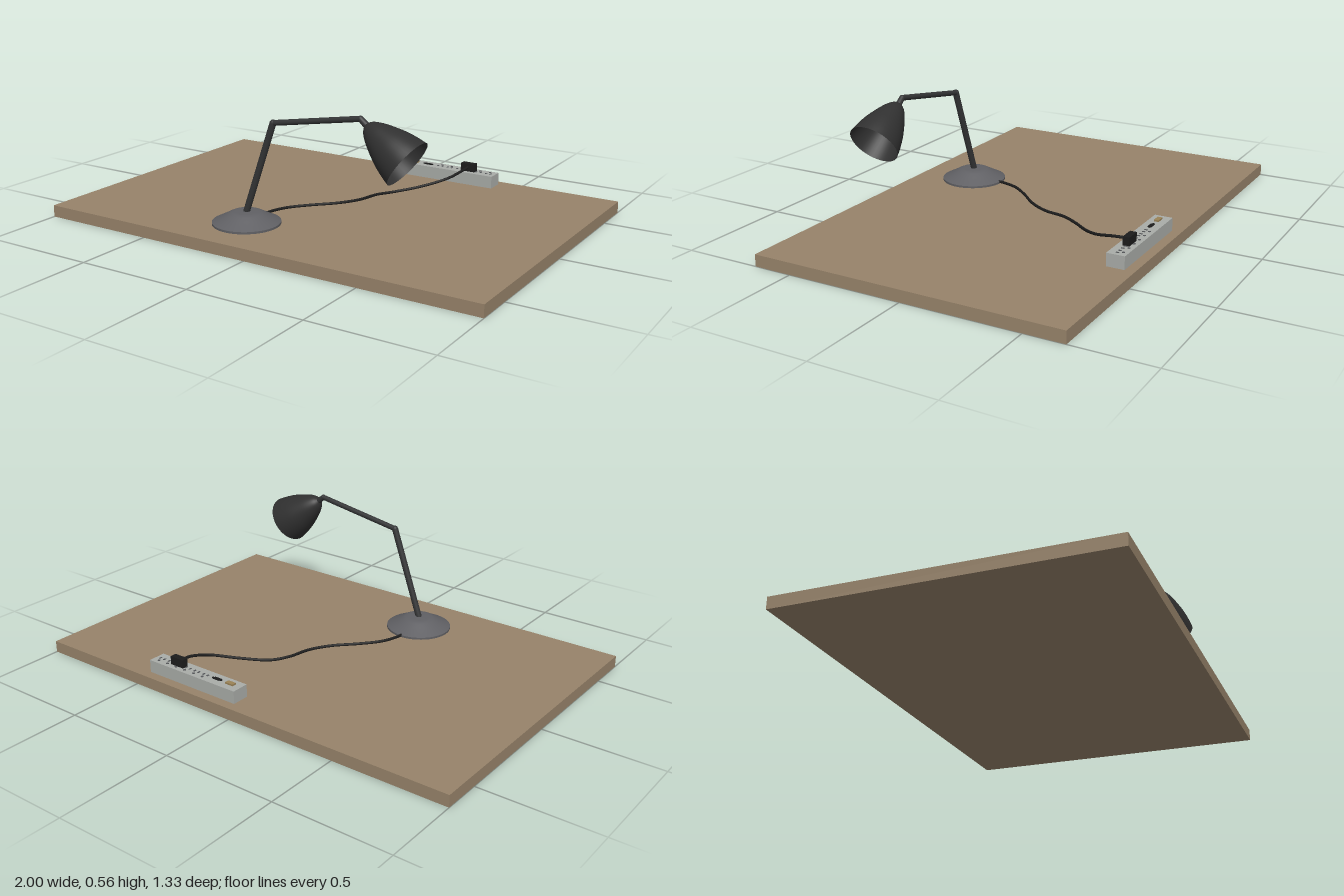
import * as THREE from 'three';

const mat = (name, color, side = THREE.FrontSide) =>
  Object.assign(new THREE.MeshStandardMaterial({ color, side }), { name });

export function createModel() {
  const wood = mat('wood', 0x97836a);
  const baseGrey = mat('base grey', 0x606064);
  const armBlack = mat('arm black', 0x343536);
  const shadeBlack = mat('shade black', 0x303030, THREE.DoubleSide);
  const cordBlack = mat('cord black', 0x1c1c1c);
  const stripGrey = mat('strip grey', 0xa9aca8);
  const slotGrey = mat('slot grey', 0x55575a);
  const switchBrown = mat('switch brown', 0x9a8256);

  const model = new THREE.Group();
  model.name = 'deskLampOnTable';
  const V = (x, y, z) => new THREE.Vector3(x, y, z);
  const UP = V(0, 1, 0);

  const add = (parent, name, geometry, material, x = 0, y = 0, z = 0) => {
    const mesh = new THREE.Mesh(geometry, material);
    mesh.name = name;
    mesh.position.set(x, y, z);
    parent.add(mesh);
    return mesh;
  };
  const box = (parent, name, material, w, h, d, x, y, z) =>
    add(parent, name, new THREE.BoxGeometry(w, h, d), material, x, y, z);
  const rod = (parent, name, material, a, b, r0, r1 = r0) => {
    const dir = b.clone().sub(a), mid = a.clone().add(b).multiplyScalar(0.5);
    const mesh = add(parent, name, new THREE.CylinderGeometry(r1, r0, dir.length(), 20), material, mid.x, mid.y, mid.z);
    mesh.quaternion.setFromUnitVectors(UP, dir.normalize());
    return mesh;
  };
  const points = (list) => list.map(([x, y]) => new THREE.Vector2(x, y));

  // Table top
  box(model, 'tableTop', wood, 2, 0.05, 1.332, 0, 0.025, 0);

  // Lamp: weighted foot, two arms and joints
  const lamp = new THREE.Group();
  lamp.name = 'lamp';
  model.add(lamp);
  const lampZ = 0.415;
  // Doubled points keep the rim and the top edge sharp
  const footProfile = points([[0, 0], [0.14, 0], [0.14, 0], [0.14, 0.009], [0.14, 0.009],
    [0.115, 0.021], [0.09, 0.034], [0.072, 0.044], [0.06, 0.049], [0.045, 0.051], [0, 0.052]]);
  add(lamp, 'foot', new THREE.LatheGeometry(footProfile, 48), baseGrey, -0.17, 0.05, lampZ);

  const ankle = V(-0.172, 0.092, lampZ), elbow = V(-0.032, 0.483, lampZ);
  const wrist = V(0.364, 0.55, lampZ), apex = V(0.389, 0.529, lampZ);
  rod(lamp, 'lowerArm', armBlack, ankle, elbow, 0.0135);
  rod(lamp, 'upperArm', armBlack, elbow, wrist, 0.0115);
  rod(lamp, 'neck', armBlack, wrist, apex, 0.0115, 0.013);
  for (const [name, p, r] of [['elbowJoint', elbow, 0.0135], ['wristJoint', wrist, 0.0118]]) {
    add(lamp, name, new THREE.SphereGeometry(r, 20, 14), armBlack, p.x, p.y, p.z);
  }

  // Open bell-shaped shade, tilted down
  const shadeCurve = new THREE.SplineCurve(points([[0.012, 0], [0.03, 0.014], [0.05, 0.045],
    [0.068, 0.085], [0.085, 0.13], [0.097, 0.175], [0.104, 0.213]]));
  const shade = add(lamp, 'shade', new THREE.LatheGeometry(shadeCurve.getPoints(24), 48),
    shadeBlack, apex.x, apex.y, apex.z);
  shade.quaternion.setFromUnitVectors(UP, V(0.817, -0.577, 0).normalize());

  // Power strip with switch, inlet and a row of sockets
  const strip = new THREE.Group();
  strip.name = 'powerStrip';
  model.add(strip);
  const top = 0.104, stripZ = -0.587;
  box(strip, 'stripBody', stripGrey, 0.456, top - 0.05, 0.076, 0.231, (top + 0.05) / 2, stripZ);
  box(strip, 'powerSwitch', switchBrown, 0.038, 0.008, 0.02, 0.055, top + 0.003, -0.585);
  box(strip, 'inlet', cordBlack, 0.034, 0.004, 0.016, 0.125, top + 0.001, -0.585);
  for (const x of [0.105, 0.145]) box(strip, 'inletEar', cordBlack, 0.008, 0.004, 0.007, x, top + 0.001, -0.585);
  for (let i = 0; i < 6; i++) {
    const x = 0.187 + i * 0.048;
    add(strip, 'earthHole', new THREE.CylinderGeometry(0.006, 0.006, 0.002, 12), slotGrey, x, top + 0.0005, -0.605);
    for (const s of [-1, 1]) {
      box(strip, 'socketSlot', slotGrey, 0.007, 0.002, 0.013, x + s * 0.011, top + 0.0005, -0.585);
    }
  }

  // Plug and its cord
  box(model, 'plug', cordBlack, 0.066, 0.036, 0.028, 0.331, top + 0.018, -0.586);
  const path = new THREE.CatmullRomCurve3([
    [-0.168, 0.057, 0.3], [-0.165, 0.057, 0.26], [-0.137, 0.057, 0.18], [-0.075, 0.057, 0.1],
    [0.01, 0.057, 0.01], [0.063, 0.057, -0.08], [0.087, 0.057, -0.18], [0.13, 0.057, -0.255],
    [0.22, 0.074, -0.345], [0.3, 0.1, -0.435], [0.329, 0.119, -0.52], [0.331, 0.123, -0.58],
  ].map((p) => V(...p)));
  add(model, 'cord', new THREE.TubeGeometry(path, 100, 0.006, 10), cordBlack);

  return model;
}
